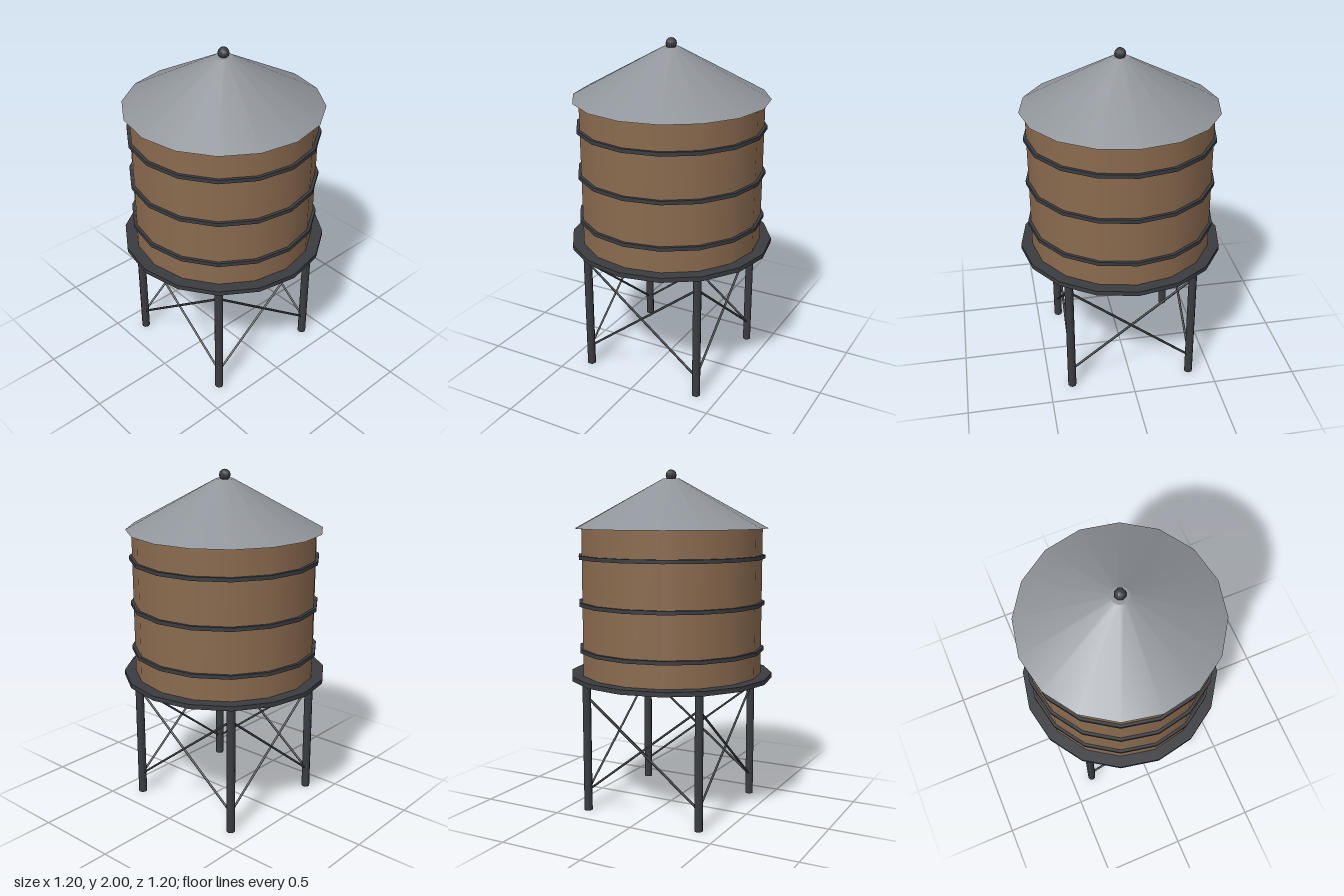
import * as THREE from 'three';
import { toCreasedNormals } from 'three/addons/utils/BufferGeometryUtils.js';

const SIDES = 16;
const steel = new THREE.MeshStandardMaterial({ color: 0x3a3c40 });
const wood = new THREE.MeshStandardMaterial({ color: 0x8b6b4f });
const tin = new THREE.MeshStandardMaterial({ color: 0x90959b });

function add(parent, name, geometry, material, x = 0, y = 0, z = 0) {
  const mesh = new THREE.Mesh(geometry, material);
  mesh.name = name;
  mesh.position.set(x, y, z);
  parent.add(mesh);
  return mesh;
}

// Flat ring with a rectangular section, centred on y = 0
function ring(inner, outer, height) {
  const h = height / 2;
  const section = [[inner, -h], [outer, -h], [outer, h], [inner, h], [inner, -h]]
    .map(([r, y]) => new THREE.Vector2(r, y));
  return toCreasedNormals(new THREE.LatheGeometry(section, SIDES), 0.6);
}

// Thin rod between two points
function rod(parent, name, a, b, radius) {
  const mesh = add(parent, name, new THREE.CylinderGeometry(radius, radius, a.distanceTo(b), 6), steel);
  mesh.position.copy(a).add(b).multiplyScalar(0.5);
  mesh.quaternion.setFromUnitVectors(new THREE.Vector3(0, 1, 0), b.clone().sub(a).normalize());
}

export function createModel() {
  const model = new THREE.Group();
  model.name = 'waterTower';

  // Legs and crossed braces, one of each per side
  const legSpread = 0.365, legHeight = 0.795;
  const stand = new THREE.Group();
  stand.name = 'stand';
  model.add(stand);
  for (let i = 0; i < 4; i++) {
    const side = new THREE.Group();
    side.name = 'standSide';
    side.rotation.y = i * Math.PI / 2;
    stand.add(side);
    add(side, 'leg', new THREE.CylinderGeometry(0.025, 0.025, legHeight, 8), steel, legSpread, legHeight / 2, legSpread);
    for (const s of [-1, 1]) {
      rod(side, 'brace',
        new THREE.Vector3(-s * legSpread, 0.12, legSpread),
        new THREE.Vector3(s * legSpread, 0.69, legSpread), 0.007);
    }
  }

  // Platform ring, open in the middle
  add(model, 'platform', ring(0.48, 0.6, 0.027), steel, 0, 0.8, 0);

  // Tank with three hoops
  add(model, 'tank', new THREE.CylinderGeometry(0.533, 0.533, 0.85, SIDES), wood, 0, 1.239, 0);
  for (const y of [0.96, 1.23, 1.5]) {
    add(model, 'hoop', ring(0.525, 0.55, 0.022), steel, 0, y, 0);
  }

  // Conical roof and finial
  add(model, 'roof', new THREE.CylinderGeometry(0.05, 0.567, 0.283, SIDES), tin, 0, 1.805, 0);
  add(model, 'finial', new THREE.SphereGeometry(0.033, 8, 6), steel, 0, 1.967, 0);

  return model;
}
